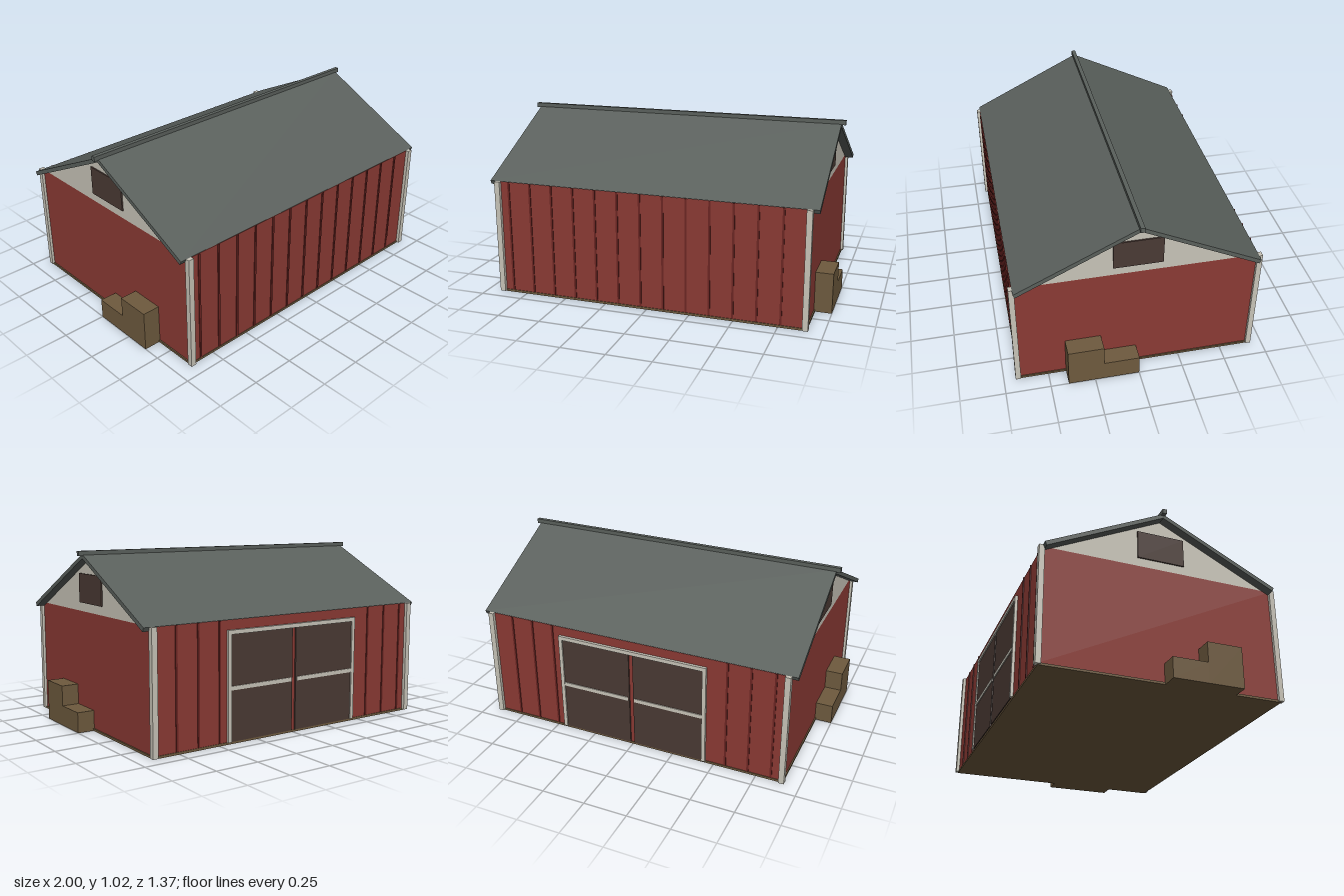
import * as THREE from 'three';

export function createModel() {
  const barn = new THREE.Group();
  barn.name = 'barn';

  const mat = (name, color) => {
    const m = new THREE.MeshStandardMaterial({ color });
    m.name = name;
    return m;
  };
  const red = mat('barnRed', 0x8b3a34);
  const darkRed = mat('battenRed', 0x6b2522);
  const cream = mat('creamTrim', 0xc8c4b8);
  const grey = mat('roofGrey', 0x5a605c);
  const tan = mat('earthBrown', 0x6e5a3e);
  const dark = mat('darkBrown', 0x4a3a34);

  // Box given by its limits on each axis
  const box = (name, material, x0, x1, y0, y1, z0, z1) => {
    const mesh = new THREE.Mesh(new THREE.BoxGeometry(x1 - x0, y1 - y0, z1 - z0), material);
    mesh.position.set((x0 + x1) / 2, (y0 + y1) / 2, (z0 + z1) / 2);
    mesh.name = name;
    barn.add(mesh);
    return mesh;
  };
  // Prism along x from a [z, y] outline
  const prism = (name, material, points, halfLength) => {
    const shape = new THREE.Shape(points.map(([z, y]) => new THREE.Vector2(-z, y)));
    const geo = new THREE.ExtrudeGeometry(shape, { depth: halfLength * 2, bevelEnabled: false });
    geo.translate(0, 0, -halfLength);
    geo.rotateY(Math.PI / 2);
    const mesh = new THREE.Mesh(geo, material);
    mesh.name = name;
    barn.add(mesh);
  };

  const wallX = 0.9, wallZ = 0.666, wallTop = 0.67;

  // Floor, walls and gables
  box('floor', tan, -0.907, 0.907, 0, 0.013, -0.67, 0.67);
  box('walls', red, -wallX, wallX, 0.013, wallTop, -wallZ, wallZ);
  prism('gables', cream, [[-0.64, wallTop], [0, 0.985], [0.64, wallTop]], wallX);

  // Roof slopes and ridge cap
  for (const s of [-1, 1]) {
    prism(s > 0 ? 'frontRoof' : 'backRoof', grey,
      [[0, 1.0], [s * 0.665, 0.672], [s * 0.655, 0.65], [0, 0.975]], 0.95);
  }
  box('ridgeCap', grey, -0.975, 0.975, 0.99, 1.017, -0.012, 0.012);

  // Corner posts
  for (const x of [-0.9, 0.9]) {
    for (const z of [-0.67, 0.67]) {
      box('cornerPost', cream, x - 0.016, x + 0.016, 0.005, 0.672, z - 0.015, z + 0.015);
    }
  }

  // Wall battens, left out behind the doors
  for (let i = 0; i < 13; i++) {
    const x = -0.835 + i * 0.1333;
    box('frontBatten', darkRed, x - 0.006, x + 0.006, 0.015, wallTop, wallZ - 0.002, 0.671);
    if (Math.abs(x) > 0.45) {
      box('backBatten', darkRed, x - 0.006, x + 0.006, 0.015, wallTop, -0.671, -wallZ + 0.002);
    }
  }

  // Double doors at the back with frame and cross rails
  box('doorTopTrim', cream, -0.452, 0.452, 0.595, 0.618, -0.682, -wallZ);
  for (const s of [-1, 1]) {
    const side = (name, m, a, b, y0, y1, z) =>
      box(name, m, Math.min(s * a, s * b), Math.max(s * a, s * b), y0, y1, z, -wallZ);
    side('doorPanel', dark, 0.012, 0.435, 0.013, 0.6, -0.675);
    side('doorRail', cream, 0.02, 0.435, 0.295, 0.317, -0.68);
    side('doorSideTrim', cream, 0.43, 0.452, 0.013, 0.6, -0.682);
  }

  // Loft hatches and stepped bales at both ends
  for (const s of [-1, 1]) {
    const end = (name, m, b, y0, y1, z0, z1) =>
      box(name, m, Math.min(s * 0.89, s * b), Math.max(s * 0.89, s * b), y0, y1, z0, z1);
    end('loftHatch', dark, 0.908, 0.72, 0.885, -0.135, 0.135);
    end('tallBale', tan, 1, 0, 0.234, 0.2, 0.4);
    end('lowBale', tan, 1, 0, 0.117, 0, 0.2);
  }
  return barn;
}
